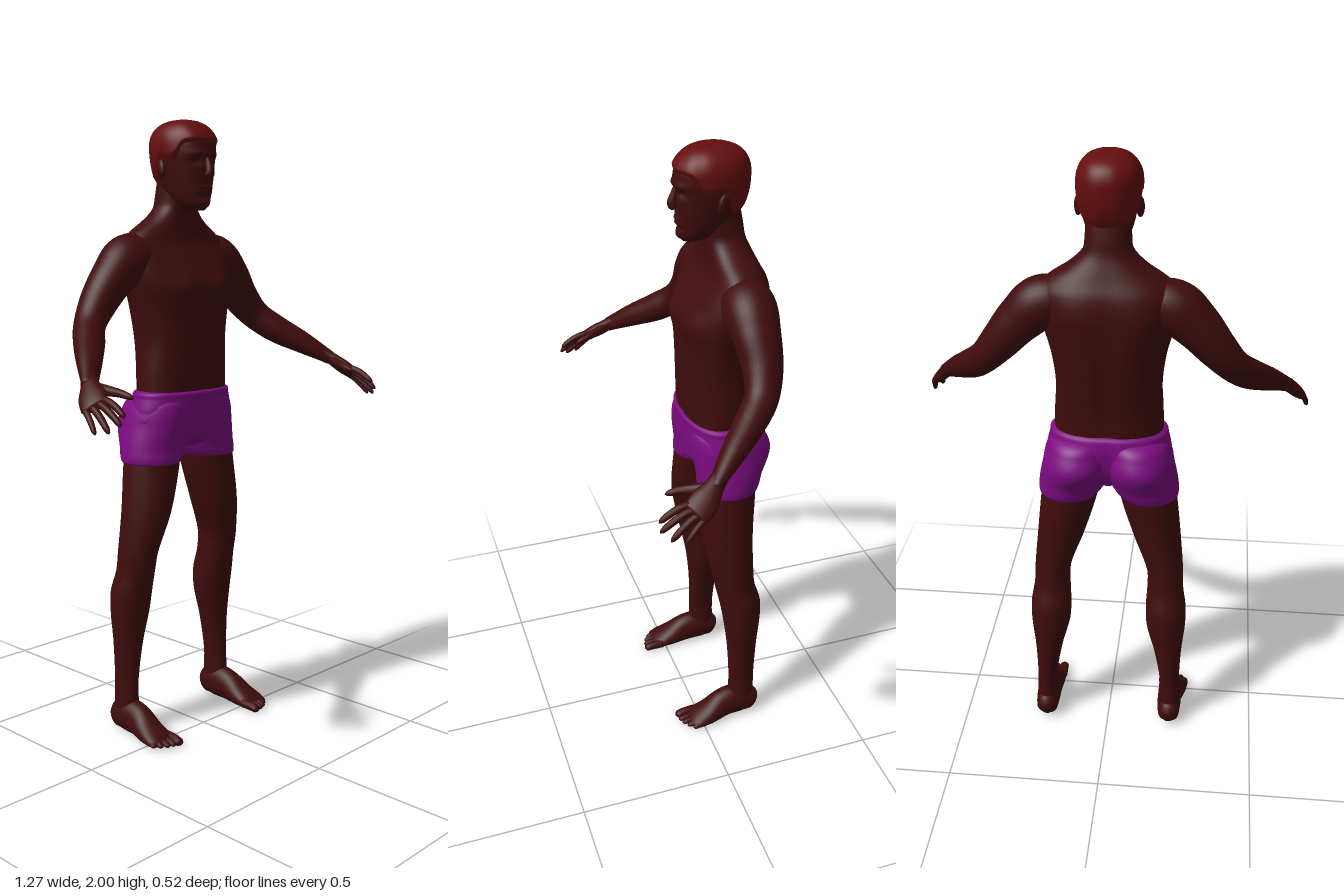
import * as THREE from 'three';

const material = (name, hex) => Object.assign(new THREE.MeshStandardMaterial({ color: hex }), { name });
const skin = material('skin', 0x400c0c);
const hair = material('hair', 0x640e0e);
const cloth = material('purple cloth', 0x7e0c82);

// Smooth interpolation through rows of [t, a, b, ...]
function sample(keys, t) {
  const n = keys.length - 1;
  let i = 0;
  while (i < n - 1 && t > keys[i + 1][0]) i++;
  const a = keys[i], b = keys[i + 1], h = b[0] - a[0];
  const s = Math.min(1, Math.max(0, (t - a[0]) / h));
  const p = keys[Math.max(0, i - 1)], q = keys[Math.min(n, i + 2)];
  return a.slice(1).map((_, k) => {
    const c = k + 1;
    const m0 = (b[c] - p[c]) / (b[0] - p[0]) * h, m1 = (q[c] - a[c]) / (q[0] - a[0]) * h;
    const s2 = s * s, s3 = s2 * s;
    return (2 * s3 - 3 * s2 + 1) * a[c] + (s3 - 2 * s2 + s) * m0 + (3 * s2 - 2 * s3) * b[c] + (s3 - s2) * m1;
  });
}

// Closed smooth skin over rings: fn(angle, v) gives a point
function surface(fn, around, along) {
  const pos = [], index = [];
  const centres = [[0, 0, 0], [0, 0, 0]];
  for (let j = 0; j <= along; j++) {
    for (let i = 0; i < around; i++) {
      const p = fn(i / around * Math.PI * 2, j / along);
      pos.push(...p);
      if (j === 0 || j === along) p.forEach((c, k) => { centres[j ? 1 : 0][k] += c / around; });
    }
  }
  const start = pos.length / 3, end = start + 1, last = along * around;
  pos.push(...centres[0], ...centres[1]);
  for (let i = 0; i < around; i++) {
    const n = (i + 1) % around;
    for (let j = 0; j < along; j++) {
      const r = j * around, s = r + around;
      index.push(r + i, r + n, s + n, r + i, s + n, s + i);
    }
    index.push(start, n, i, end, last + i, last + n);
  }
  const g = new THREE.BufferGeometry();
  g.setAttribute('position', new THREE.Float32BufferAttribute(pos, 3));
  g.setIndex(index);
  g.computeVertexNormals();
  return g;
}

// Upright body: keys are [y, centreX, centreZ, halfWidth, frontDepth, backDepth]
function column(keys, { e = 1, tweak, around = 48, along = 60 } = {}) {
  const y0 = keys[0][0], y1 = keys[keys.length - 1][0];
  const pow = c => Math.sign(c) * Math.abs(c) ** e;
  return surface((a, v) => {
    const y = y0 + (y1 - y0) * v;
    const [cx, cz, rx, rf, rb] = sample(keys, y);
    const c = Math.cos(a);
    const p = [cx + rx * pow(Math.sin(a)), y, cz + (c > 0 ? rf : rb) * pow(c)];
    if (tweak) p[2] += tweak(p[0], y, c);
    return p;
  }, around, along);
}

// Tapered limb: points are [x, y, z, halfWidth, halfThickness], side is the width direction
function limb(points, side, { around = 16, along = 24, floor = -9, round = 0.2 } = {}) {
  const keys = points.map((p, i) => [i, ...p]), n = points.length - 1;
  return surface((a, v) => {
    const k = sample(keys, v * n);
    const f = sample(keys, Math.min(n, v * n + 0.01)), g = sample(keys, Math.max(0, v * n - 0.01));
    const t = new THREE.Vector3(f[0] - g[0], f[1] - g[1], f[2] - g[2]).normalize();
    const s = new THREE.Vector3(...side).addScaledVector(t, -t.dot(new THREE.Vector3(...side))).normalize();
    const b = s.clone().cross(t);
    const w = v > 1 - round ? Math.sqrt(Math.max(0.002, 1 - ((v - 1 + round) / round) ** 2)) : 1;
    const p = new THREE.Vector3(k[0], k[1], k[2])
      .addScaledVector(s, Math.sin(a) * k[3] * w).addScaledVector(b, Math.cos(a) * k[4] * w);
    return [p.x, Math.max(floor, p.y), p.z];
  }, around, along);
}

const bump = (x, y, cx, cy, w, h) => Math.exp(-(((x - cx) / w) ** 2) - ((y - cy) / h) ** 2);

export function createModel() {
  const model = new THREE.Group();
  model.name = 'standingMan';
  const add = (name, geometry, mat) => {
    const mesh = new THREE.Mesh(geometry, mat);
    mesh.name = name;
    model.add(mesh);
  };
  const pair = (name, geometry, mat) => {
    add('left' + name, geometry, mat);
    const g = geometry.clone().scale(-1, 1, 1), ix = g.index.array;
    for (let i = 0; i < ix.length; i += 3) [ix[i], ix[i + 1]] = [ix[i + 1], ix[i]];
    g.computeVertexNormals();
    add('right' + name, g, mat);
  };

  // Torso and neck, with chest, shoulder blades and spine
  add('torso', column([
    [1.1, 0, -0.1, 0.172, 0.095, 0.1], [1.2, 0, -0.1, 0.169, 0.1, 0.108], [1.3, 0, -0.1, 0.164, 0.104, 0.126],
    [1.4, 0, -0.1, 0.176, 0.106, 0.142], [1.48, 0, -0.1, 0.197, 0.103, 0.15], [1.55, 0, -0.11, 0.212, 0.083, 0.142],
    [1.61, 0, -0.13, 0.208, 0.07, 0.112], [1.65, 0, -0.135, 0.168, 0.066, 0.088], [1.68, 0, -0.135, 0.12, 0.066, 0.075],
    [1.72, 0, -0.128, 0.076, 0.062, 0.066], [1.76, 0, -0.122, 0.068, 0.065, 0.065], [1.82, 0, -0.115, 0.066, 0.06, 0.06],
  ], {
    e: 0.85, tweak: (x, y, c) => c > 0
      ? c * (0.014 * bump(Math.abs(x), y, 0.085, 1.47, 0.06, 0.05) - 0.006 * bump(x, y, 0, 1.3, 0.012, 0.14))
      : -c * (0.014 * bump(x, y, 0, 1.36, 0.022, 0.2) - 0.008 * bump(Math.abs(x), y, 0.1, 1.54, 0.05, 0.07)),
  }), skin);

  // Shorts: hips plus two short legs that also form the seat
  add('shortsHips', column([
    [0.955, 0, -0.11, 0.03, 0.07, 0.06], [0.985, 0, -0.1, 0.12, 0.092, 0.09], [1.03, 0, -0.1, 0.195, 0.099, 0.118],
    [1.08, 0, -0.1, 0.196, 0.104, 0.125], [1.12, 0, -0.1, 0.187, 0.105, 0.118], [1.138, 0, -0.1, 0.183, 0.105, 0.112],
    [1.145, 0, -0.1, 0.165, 0.09, 0.1],
  ], { e: 0.9, tweak: (x, y, c) => c < 0 ? -c * 0.02 * bump(x, y, 0, 1.05, 0.025, 0.06) : 0 }), cloth);
  pair('ShortsLeg', column([
    [0.905, 0.128, -0.115, 0.08, 0.08, 0.08], [0.911, 0.128, -0.115, 0.095, 0.096, 0.097],
    [0.96, 0.113, -0.117, 0.109, 0.1, 0.115], [1.03, 0.1, -0.12, 0.108, 0.114, 0.144],
    [1.08, 0.094, -0.115, 0.103, 0.112, 0.134], [1.115, 0.088, -0.11, 0.088, 0.1, 0.112], [1.135, 0.08, -0.1, 0.05, 0.06, 0.06],
  ]), cloth);

  // Legs
  pair('Leg', column([
    [0.04, 0.215, -0.152, 0.034, 0.045, 0.045], [0.1, 0.215, -0.15, 0.035, 0.046, 0.045], [0.17, 0.214, -0.15, 0.033, 0.045, 0.045],
    [0.3, 0.205, -0.15, 0.046, 0.05, 0.053], [0.41, 0.196, -0.148, 0.065, 0.06, 0.066], [0.48, 0.194, -0.143, 0.067, 0.068, 0.071],
    [0.55, 0.19, -0.13, 0.06, 0.071, 0.064], [0.62, 0.187, -0.12, 0.06, 0.076, 0.068], [0.75, 0.158, -0.112, 0.077, 0.092, 0.08],
    [0.9, 0.128, -0.113, 0.091, 0.092, 0.093], [1, 0.115, -0.115, 0.09, 0.09, 0.09],
  ], { along: 70 }), skin);

  // Feet and toes
  pair('Foot', limb([
    [0.215, 0.035, -0.206, 0.014, 0.018], [0.215, 0.042, -0.19, 0.034, 0.042], [0.215, 0.055, -0.15, 0.04, 0.056],
    [0.216, 0.052, -0.09, 0.042, 0.055], [0.222, 0.03, -0.03, 0.049, 0.038], [0.225, 0.018, 0.02, 0.052, 0.023],
    [0.224, 0.014, 0.05, 0.05, 0.014],
  ], [1, 0, 0], { around: 28, floor: 0.003 }), skin);
  for (let i = 0; i < 5; i++) {
    const x = [0.187, 0.211, 0.23, 0.248, 0.264][i], z = [0.084, 0.08, 0.073, 0.06, 0.044][i], r = i ? 0.0095 : 0.015;
    pair('Toe' + (i + 1), limb([
      [x - 0.002, 0.019, z - 0.07, r, r], [x, 0.017, z - 0.03, r, r], [x + 0.002, 0.011, z, r * 1.1, r * 0.8],
    ], [1, 0, 0], { around: 12, along: 14, floor: 0, round: 0.25 }), skin);
  }

  // Arms
  pair('Arm', limb([
    [0.09, 1.565, -0.135, 0.07, 0.06], [0.19, 1.56, -0.142, 0.083, 0.08], [0.26, 1.506, -0.142, 0.07, 0.075],
    [0.325, 1.43, -0.138, 0.059, 0.062], [0.38, 1.365, -0.115, 0.049, 0.052], [0.43, 1.315, -0.06, 0.049, 0.046],
    [0.49, 1.268, 0.01, 0.04, 0.036], [0.545, 1.222, 0.075, 0.028, 0.022], [0.56, 1.207, 0.092, 0.025, 0.02],
  ], [0.6, 0.7, -0.5], { around: 32, along: 64, round: 0.08 }), skin);

  // Hands: palm, four fingers and a thumb
  const across = [0.62, -0.42, -0.66];
  pair('Palm', limb([
    [0.537, 1.23, 0.065, 0.025, 0.021], [0.555, 1.212, 0.09, 0.029, 0.02], [0.575, 1.187, 0.122, 0.042, 0.02],
    [0.592, 1.166, 0.15, 0.042, 0.016], [0.597, 1.158, 0.162, 0.038, 0.012],
  ], across, { around: 24 }), skin);
  const tips = [[0.572, 1.138, 0.256], [0.588, 1.115, 0.258], [0.611, 1.095, 0.234], [0.63, 1.09, 0.197]];
  tips.forEach((tip, i) => {
    const k = (i - 1.5) * 0.021, r = 0.0105 - (i === 3 ? 0.0015 : 0);
    const base = [0.59, 1.167, 0.148].map((c, j) => c + across[j] * k);
    const at = (f, lift, s) => [...base.map((c, j) => c + (tip[j] - c) * f + (j === 1 ? lift : 0)), r * s, r * s];
    pair('Finger' + (i + 1), limb([at(0, 0, 1.1), at(0.35, 0.007, 1.05), at(0.7, 0.006, 0.95), at(1, 0, 0.75)],
      across, { around: 12, along: 18 }), skin);
  });
  pair('Thumb', limb([
    [0.552, 1.208, 0.095, 0.018, 0.016], [0.532, 1.2, 0.135, 0.016, 0.014], [0.514, 1.193, 0.175, 0.012, 0.011],
    [0.504, 1.182, 0.217, 0.009, 0.008],
  ], across, { around: 12 }), skin);

  // Head, with brow, eye sockets, lips and chin
  const skull = [
    [1.715, 0, -0.035, 0.02, 0.03, 0.025], [1.73, 0, -0.05, 0.042, 0.058, 0.05], [1.76, 0, -0.08, 0.061, 0.094, 0.065],
    [1.8, 0, -0.09, 0.074, 0.106, 0.083], [1.85, 0, -0.09, 0.083, 0.109, 0.102], [1.9, 0, -0.09, 0.088, 0.112, 0.108],
    [1.94, 0, -0.09, 0.083, 0.103, 0.104], [1.97, 0, -0.09, 0.064, 0.076, 0.083], [1.987, 0, -0.09, 0.035, 0.04, 0.045],
    [1.992, 0, -0.09, 0.005, 0.006, 0.006],
  ];
  add('head', column(skull, {
    e: 0.92, along: 90, around: 80, tweak: (x, y, c) => c < 0 ? 0 : c * (
      0.006 * bump(Math.abs(x), y, 0.03, 1.888, 0.03, 0.01) - 0.012 * bump(Math.abs(x), y, 0.033, 1.866, 0.018, 0.013)
      + 0.006 * bump(x, y, 0, 1.787, 0.024, 0.006) + 0.005 * bump(x, y, 0, 1.772, 0.022, 0.006)
      - 0.006 * bump(x, y, 0, 1.758, 0.03, 0.007) + 0.006 * bump(x, y, 0, 1.735, 0.025, 0.012)),
  }), skin);
  add('nose', limb([
    [0, 1.885, 0.012, 0.009, 0.009], [0, 1.86, 0.02, 0.01, 0.012], [0, 1.833, 0.028, 0.015, 0.014], [0, 1.815, 0.02, 0.019, 0.013],
  ], [1, 0, 0], { along: 20 }), skin);
  const ear = new THREE.SphereGeometry(1, 16, 12).scale(0.011, 0.032, 0.02).rotateX(-0.2).rotateY(0.3).translate(0.089, 1.842, -0.1);
  pair('Ear', ear, skin);

  // Hair: a shell over the skull whose lower edge follows the hairline [angle, y]
  const hairline = [[0, 1.92], [0.6, 1.918], [0.95, 1.905], [1.2, 1.862], [1.45, 1.855], [1.65, 1.865],
    [1.85, 1.82], [2.2, 1.785], [2.7, 1.768], [3.1416, 1.766]];
  add('hair', surface((a, v) => {
    const low = sample(hairline, Math.min(a, Math.PI * 2 - a))[0];
    const y = low + (1.992 - low) * Math.sin(v * Math.PI / 2);
    const [cx, cz, rx, rf, rb] = sample(skull, y);
    const thick = -0.004 + 0.013 * Math.min(1, v * 7) + 0.0012 * Math.sin(a * 9 + v * 5) * (1 - v);
    const c = Math.cos(a), s = Math.sin(a);
    const e = w => Math.sign(w) * Math.abs(w) ** 0.92;
    return [cx + (rx + thick * (1 - v ** 8)) * e(s), y + 0.008 * v, cz + ((c > 0 ? rf : rb) + thick * (1 - v ** 8)) * e(c)];
  }, 72, 40), hair);

  return model;
}
